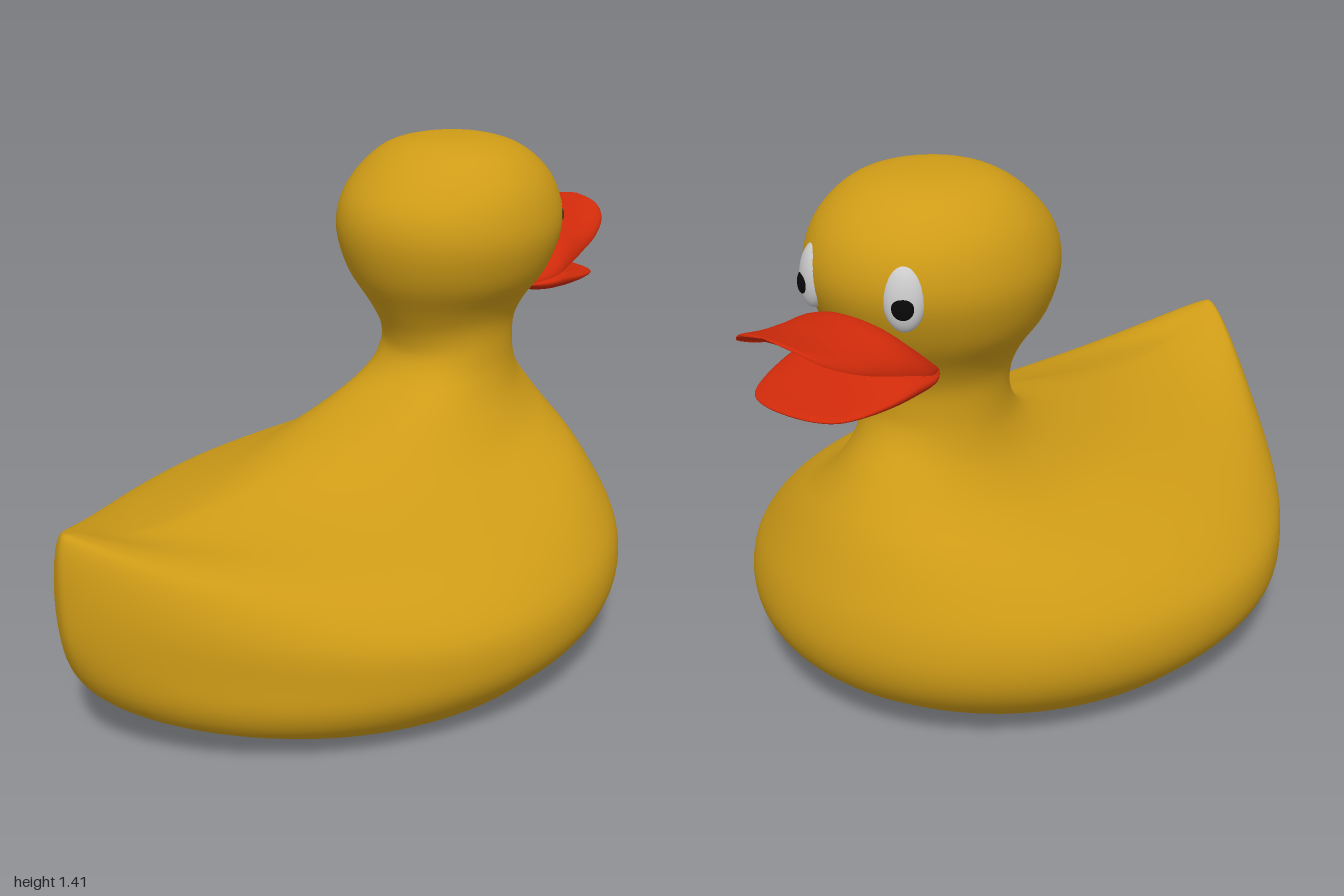
import * as THREE from 'three';
import { mergeVertices } from 'three/addons/utils/BufferGeometryUtils.js';

// Smoothly interpolates every column of a table of sections
function refine(rows, steps) {
  const out = [];
  const at = (i) => rows[Math.min(Math.max(i, 0), rows.length - 1)];
  for (let i = 0; i < rows.length - 1; i++) {
    for (let s = 0; s < steps; s++) {
      const t = s / steps;
      out.push(rows[i].map((p1, k) => {
        const p0 = at(i - 1)[k], p2 = at(i + 1)[k], p3 = at(i + 2)[k];
        return p1 + 0.5 * t * (p2 - p0 + t * (2 * p0 - 5 * p1 + 4 * p2 - p3 + t * (3 * (p1 - p2) + p3 - p0)));
      }));
    }
  }
  out.push(rows[rows.length - 1]);
  return out;
}

// Skins closed loops; point(section, angle) gives [x, y, z]
function loft(sections, segments, point) {
  const pos = [], idx = [];
  sections.forEach((sec, i) => {
    for (let j = 0; j < segments; j++) {
      pos.push(...point(sec, (j / segments) * Math.PI * 2));
      if (i === sections.length - 1) continue;
      const a = i * segments + j, b = i * segments + ((j + 1) % segments);
      idx.push(a, a + segments, b, b, a + segments, b + segments);
    }
  });
  const geo = new THREE.BufferGeometry();
  geo.setAttribute('position', new THREE.Float32BufferAttribute(pos, 3));
  geo.setIndex(idx);
  const merged = mergeVertices(geo, 1e-5);
  merged.computeVertexNormals();
  return merged;
}

// Body rings: back x, front x, centre x, half width, back y, side y, front y, tail point
const bodyRings = [
  [0, 0, 0, 0, 0, 0, 0, 0],
  [-0.3, 0.3, 0, 0.27, 0.005, 0.005, 0.005, 0],
  [-0.6, 0.6, 0, 0.53, 0.02, 0.02, 0.02, 0],
  [-0.8, 0.74, 0, 0.62, 0.09, 0.08, 0.09, 0.15],
  [-0.92, 0.82, 0, 0.682, 0.19, 0.15, 0.17, 0.45],
  [-0.985, 0.85, 0, 0.705, 0.33, 0.225, 0.26, 0.75],
  [-1, 0.838, 0, 0.69, 0.49, 0.31, 0.36, 0.8],
  [-0.99, 0.8, 0.02, 0.62, 0.625, 0.39, 0.46, 0.85],
];
const neckAndHeadRings = [
  [-0.945, 0.76, 0.06, 0.53, 0.635, 0.45, 0.545, 0.9],
  [-0.77, 0.72, 0.14, 0.41, 0.577, 0.51, 0.61, 0.9],
  [-0.45, 0.675, 0.24, 0.31, 0.585, 0.57, 0.675, 0.6],
  [-0.1, 0.63, 0.34, 0.232, 0.65, 0.66, 0.735, 0.2],
  [0.12, 0.605, 0.39, 0.195, 0.715, 0.74, 0.785, 0],
  [0.2, 0.6, 0.4, 0.183, 0.79, 0.815, 0.83, 0],
  [0.2, 0.605, 0.4, 0.186, 0.86, 0.89, 0.89, 0],
  [0.16, 0.635, 0.4, 0.215, 0.94, 0.955, 0.955, 0],
  [0.1, 0.69, 0.4, 0.275, 1.04, 1.04, 1.04, 0],
  [0.07, 0.735, 0.4, 0.308, 1.15, 1.145, 1.15, 0],
  [0.085, 0.728, 0.4, 0.298, 1.24, 1.235, 1.24, 0],
  [0.15, 0.683, 0.4, 0.262, 1.32, 1.31, 1.315, 0],
  [0.23, 0.605, 0.4, 0.195, 1.378, 1.372, 1.374, 0],
  [0.31, 0.51, 0.4, 0.1, 1.403, 1.402, 1.402, 0],
  [0.4, 0.4, 0.4, 0, 1.408, 1.408, 1.408, 0],
];

// Rounded at the front, drawn to a point at the tail
function bodyPoint([xb, xf, xc, w, yb, ys, yf, k], angle) {
  const c = Math.cos(angle), s = Math.sin(angle);
  if (c >= 0) return [xc + (xf - xc) * c, ys + (yf - ys) * c * c, w * s];
  const pointed = Math.sign(s) * Math.pow(Math.max(0, Math.cos(c * Math.PI / 2)), 0.9);
  return [xc + (xc - xb) * c, ys + (yb - ys) * Math.pow(-c, 2.8), w * THREE.MathUtils.lerp(s, pointed, k)];
}

// Bill sections: x, half width, edge y, upper middle y, lower middle y
const upperBill = [
  [0.57, 0.15, 0.965, 0.985, 0.96],
  [0.65, 0.195, 0.985, 1.06, 0.98],
  [0.72, 0.195, 1.008, 1.115, 1.005],
  [0.8, 0.18, 1.03, 1.118, 1.045],
  [0.88, 0.165, 1.058, 1.12, 1.08],
  [0.95, 0.135, 1.093, 1.133, 1.112],
  [0.985, 0.085, 1.125, 1.142, 1.133],
  [0.998, 0, 1.144, 1.144, 1.144],
];
const lowerBill = [
  [0.57, 0.15, 0.965, 0.975, 0.95],
  [0.63, 0.195, 0.968, 0.995, 0.927],
  [0.7, 0.2, 0.967, 1.008, 0.915],
  [0.78, 0.19, 0.957, 0.982, 0.917],
  [0.86, 0.165, 0.947, 0.96, 0.924],
  [0.91, 0.13, 0.941, 0.951, 0.928],
  [0.935, 0.07, 0.938, 0.944, 0.933],
  [0.942, 0, 0.938, 0.938, 0.938],
];

function billPoint([x, w, edge, top, bottom], angle) {
  const s = Math.sin(angle);
  const y = s >= 0 ? edge + (top - edge) * s : edge - (bottom - edge) * s;
  return [x, y, w * Math.cos(angle)];
}

export function createModel() {
  const model = new THREE.Group();
  const paint = (color) => new THREE.MeshStandardMaterial({ color });
  const yellow = paint(0xcf9c17), red = paint(0xcf2a0a), white = paint(0xeeeeee), black = paint(0x080808);

  const add = (parent, name, geometry, material) => {
    const mesh = new THREE.Mesh(geometry, material);
    mesh.name = name;
    parent.add(mesh);
    return mesh;
  };

  // Body, neck and head in one skin
  const rings = refine([...bodyRings, ...neckAndHeadRings], 4);
  add(model, 'bodyAndHead', loft(rings, 96, bodyPoint), yellow);

  // Open bill
  add(model, 'upperBill', loft(refine(upperBill, 4), 40, billPoint), red);
  add(model, 'lowerBill', loft(refine(lowerBill, 4), 40, billPoint), red);

  // Eyes, turned outward on each side and leaning back
  const ball = new THREE.SphereGeometry(1, 32, 20);
  for (const side of [1, -1]) {
    const eye = new THREE.Group();
    eye.name = side > 0 ? 'rightEye' : 'leftEye';
    eye.position.set(0.679, 1.175, 0.14 * side);
    eye.rotation.set(0, -0.5 * side, 0.1);
    add(eye, 'eyeWhite', ball, white).scale.set(0.035, 0.082, 0.052);
    const pupil = add(eye, 'pupil', ball, black);
    pupil.position.set(0.029, -0.019, 0.002 * side);
    pupil.scale.set(0.01, 0.028, 0.027);
    model.add(eye);
  }
  return model;
}
